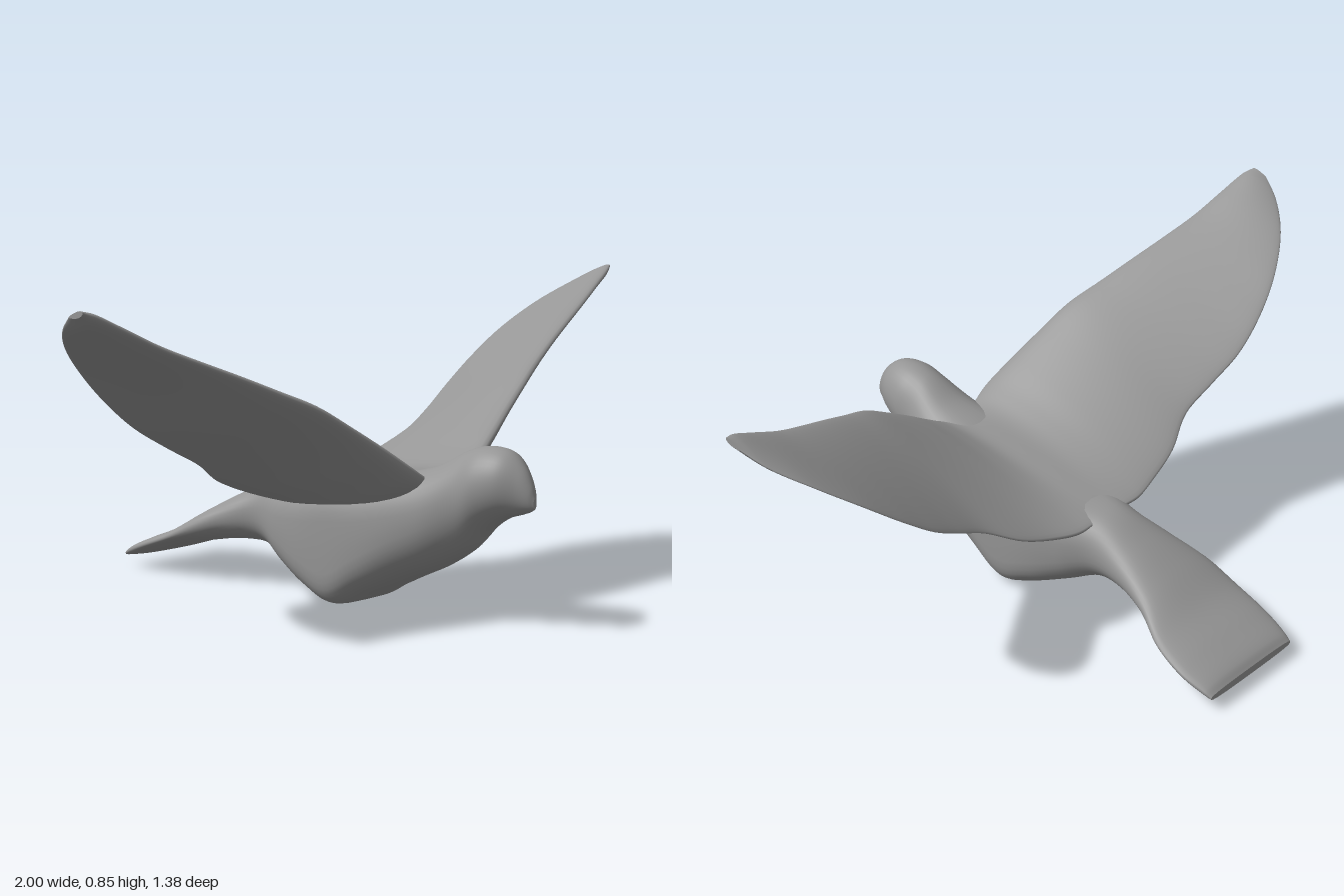
import * as THREE from 'three';

const material = new THREE.MeshStandardMaterial({ color: 0x969696 });
const SEGMENTS = 40;

// Smooth skin through closed rings of points, with a flat cap at each end.
function loft(rings, steps) {
  const columns = rings[0].map((_, j) => new THREE.CatmullRomCurve3(rings.map((r) => r[j])));
  const n = columns.length;
  const pos = [];
  const idx = [];
  for (let i = 0; i <= steps; i++) {
    for (const c of columns) pos.push(...c.getPoint(i / steps).toArray());
  }
  for (let i = 0; i < steps; i++) {
    for (let j = 0; j < n; j++) {
      const a = i * n + j, c = i * n + ((j + 1) % n);
      idx.push(a, a + n, c, c, a + n, c + n);
    }
  }
  // Caps use their own vertices so the rims stay crisp
  for (const end of [0, 1]) {
    const ring = rings[end ? rings.length - 1 : 0];
    const first = pos.length / 3;
    const centre = new THREE.Vector3();
    for (const p of ring) {
      pos.push(p.x, p.y, p.z);
      centre.addScaledVector(p, 1 / n);
    }
    pos.push(centre.x, centre.y, centre.z);
    for (let j = 0; j < n; j++) {
      const a = first + j, b = first + ((j + 1) % n);
      if (end) idx.push(first + n, b, a);
      else idx.push(first + n, a, b);
    }
  }
  const g = new THREE.BufferGeometry();
  g.setAttribute('position', new THREE.Float32BufferAttribute(pos, 3));
  g.setIndex(idx);
  g.computeVertexNormals();
  return g;
}

const angles = Array.from({ length: SEGMENTS }, (_, j) => (j / SEGMENTS) * Math.PI * 2);
const bend = (v, power) => Math.sign(v) * Math.abs(v) ** (2 / power);

// Body stations: z, bottom, top, centre x, half width, squareness
const bodyStations = [
  [0.69, 0.32, 0.347, 0, 0.006, 2],
  [0.68, 0.313, 0.378, 0, 0.018, 2],
  [0.655, 0.303, 0.42, 0, 0.037, 2],
  [0.61, 0.288, 0.457, 0, 0.068, 2],
  [0.55, 0.25, 0.465, 0, 0.086, 2],
  [0.49, 0.19, 0.452, 0, 0.092, 2],
  [0.4, 0.135, 0.405, 0, 0.118, 2.2],
  [0.3, 0.09, 0.375, 0, 0.14, 2.6],
  [0.2, 0.045, 0.345, 0, 0.152, 3.4],
  [0.1, 0.002, 0.325, 0, 0.155, 4.5],
  [0, 0.028, 0.315, 0, 0.15, 3.6],
  [-0.1, 0.07, 0.308, 0, 0.13, 2.8],
  [-0.2, 0.115, 0.3, 0, 0.1, 2.3],
  [-0.3, 0.12, 0.255, -0.01, 0.115, 2.2],
  [-0.4, 0.105, 0.2, -0.013, 0.143, 2.2],
  [-0.5, 0.082, 0.142, 0.008, 0.172, 2.2],
  [-0.6, 0.052, 0.102, 0.02, 0.18, 2.4],
  [-0.67, 0.032, 0.07, 0.023, 0.17, 2.8],
  [-0.69, 0.03, 0.052, 0.023, 0.165, 3],
];

function bodyRing([z, low, high, cx, w, power]) {
  return angles.map((t) => new THREE.Vector3(
    cx + w * bend(Math.cos(t), power),
    (low + high) / 2 + ((high - low) / 2) * bend(Math.sin(t), power),
    z,
  ));
}

// Wing stations: x, leading z, leading y, trailing z, trailing y, upper and lower thickness
const wingStations = [
  [0, 0.37, 0.36, -0.18, 0.285, 0.035, 0.06],
  [0.06, 0.39, 0.365, -0.18, 0.285, 0.037, 0.07],
  [0.12, 0.4, 0.393, -0.18, 0.285, 0.045, 0.085],
  [0.2, 0.385, 0.445, -0.165, 0.3, 0.05, 0.07],
  [0.3, 0.36, 0.51, -0.145, 0.335, 0.05, 0.045],
  [0.4, 0.335, 0.572, -0.108, 0.392, 0.046, 0.035],
  [0.5, 0.3, 0.618, -0.115, 0.445, 0.042, 0.03],
  [0.6, 0.268, 0.662, -0.128, 0.505, 0.038, 0.026],
  [0.7, 0.238, 0.703, -0.12, 0.58, 0.034, 0.022],
  [0.8, 0.21, 0.745, -0.09, 0.66, 0.03, 0.02],
  [0.9, 0.187, 0.795, -0.03, 0.737, 0.026, 0.02],
  [0.97, 0.17, 0.83, 0.045, 0.792, 0.02, 0.018],
  [1, 0.155, 0.843, 0.105, 0.83, 0.008, 0.01],
];

// Rounded leading edge, thin trailing edge
function wingRing([x, leadZ, leadY, trailZ, trailY, upper, lower]) {
  return angles.map((t) => {
    const s = (1 - Math.cos(t)) / 2;
    const depth = Math.sin(t) * (t < Math.PI ? upper : lower);
    return new THREE.Vector3(
      x,
      THREE.MathUtils.lerp(leadY, trailY, s) + depth * (1.15 - 0.65 * s),
      THREE.MathUtils.lerp(leadZ, trailZ, s),
    );
  });
}

export function createModel() {
  const bird = new THREE.Group();
  bird.name = 'flyingBird';
  const add = (name, geometry) => {
    const mesh = new THREE.Mesh(geometry, material);
    mesh.name = name;
    bird.add(mesh);
  };

  // Beak, head, belly and fanned tail are one continuous skin
  add('body', loft(bodyStations.map(bodyRing), 110));

  // Both raised wings run as one skin across the back
  const mirrored = wingStations.slice(1).reverse().map(([x, ...rest]) => [-x, ...rest]);
  add('wings', loft([...mirrored, ...wingStations].map(wingRing), 144));
  return bird;
}
